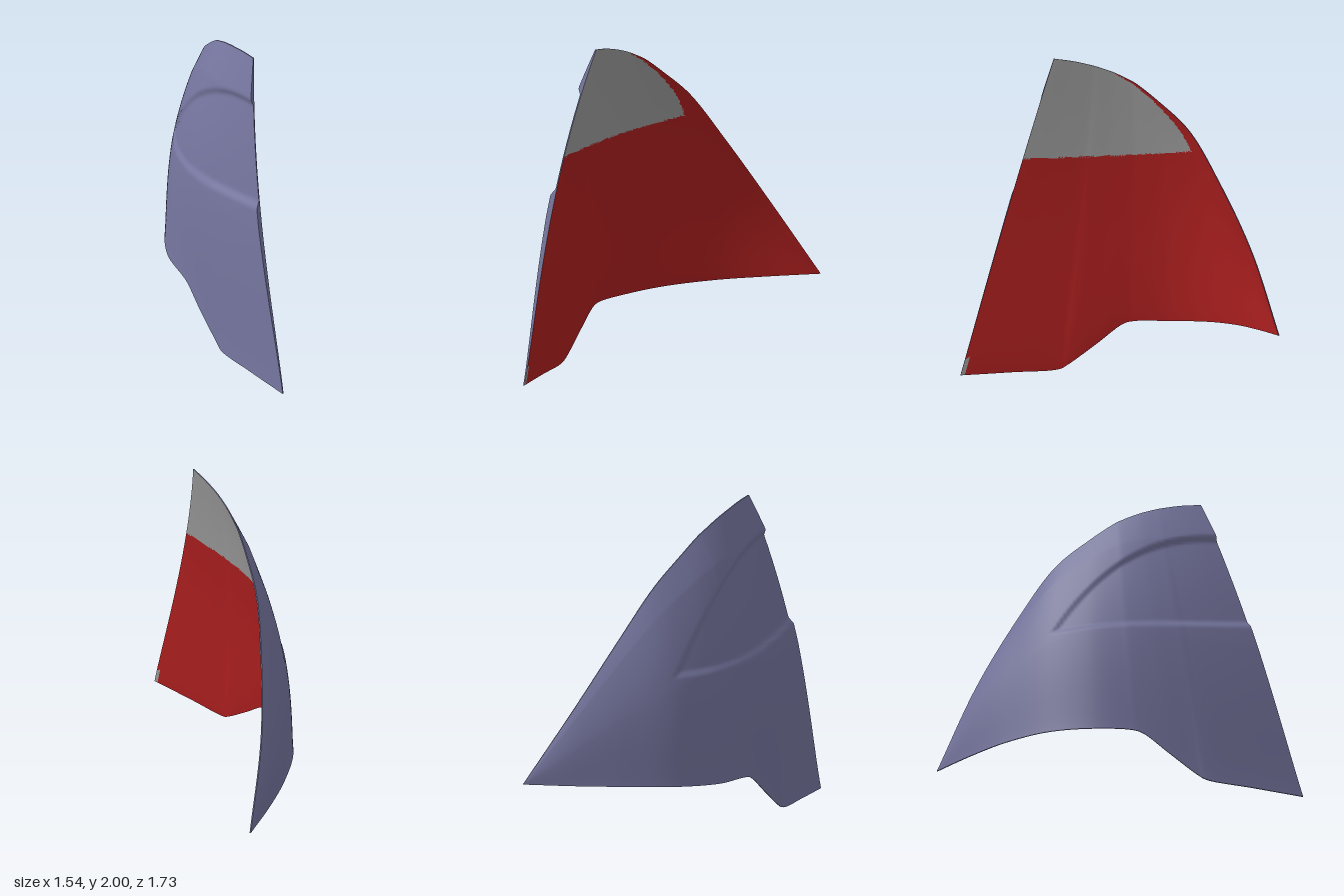
import * as THREE from 'three';

const NU = 132, NT = 120;
const V = (a) => a.map((p) => new THREE.Vector3(...p));

// Paired points along the lower and upper edges, front corner to rear tip
const lower = new THREE.CatmullRomCurve3(V([
  [-0.765, 0, 0.86], [-0.70, 0.022, 0.55], [-0.635, 0.045, 0.27], [-0.615, 0.075, 0.22],
  [-0.56, 0.21, 0.05], [-0.505, 0.335, -0.10], [-0.48, 0.355, -0.16], [-0.36, 0.37, -0.37],
  [-0.15, 0.395, -0.56], [0.15, 0.42, -0.70], [0.45, 0.435, -0.79], [0.77, 0.45, -0.86],
]));
const upper = new THREE.CatmullRomCurve3(V([
  [-0.41, 2, 0.34], [-0.365, 1.987, 0.22], [-0.32, 1.965, 0.11], [-0.307, 1.958, 0.083],
  [-0.263, 1.93, -0.005], [-0.208, 1.887, -0.10], [-0.187, 1.87, -0.13], [-0.10, 1.775, -0.25],
  [0.04, 1.61, -0.42], [0.23, 1.31, -0.58], [0.47, 0.92, -0.74], [0.77, 0.45, -0.86],
]));

// Horizontal direction pointing out of the shell
function outward(u) {
  const a = THREE.MathUtils.degToRad(3 + 62 * u);
  return new THREE.Vector3(-Math.cos(a), 0, -Math.sin(a));
}

// Concave face: lines between the two edges, bowed outward
function innerPoint(u, t) {
  const b = lower.getPoint(u), e = upper.getPoint(u);
  const bow = 0.145 * b.distanceTo(e) * Math.pow(t, 1.4) * (1 - t);
  return b.lerp(e, t).addScaledVector(outward(u), bow);
}

// 1 inside the pointed recess of the outer face, 0 elsewhere
function recess(p) {
  const q = p.z - p.x;
  const s = THREE.MathUtils.clamp((q + 0.43) / 1.37, 0, 1);
  const top = 1.07 + 0.705 * (1 - Math.pow(1 - s, 2.2));
  const bottom = 1.06 + 0.04 * (q + 0.1) ** 2;
  return THREE.MathUtils.smoothstep(Math.min(top - p.y, p.y - bottom), 0, 0.05);
}

// Convex face: shell thickness, fuller in the middle, with the recess sunk in
function outerPoint(u, t) {
  const p = innerPoint(u, t);
  const swell = 0.035 * Math.sin(Math.PI * u) * Math.sin(Math.PI * t);
  const taper = Math.min(1, 2 * t) * Math.min(1, 8 * (1 - t)) * (1 - u * u);
  const skin = 0.025 * taper * (1 - recess(p));
  return p.addScaledVector(outward(u), 0.007 + skin + swell);
}

// Grid surface; pick(centre) chooses the material index of each triangle
function surface(point, nu, nt, flip, pick) {
  const pos = [], sets = [[], []], P = [];
  for (let j = 0; j <= nt; j++) {
    for (let i = 0; i <= nu; i++) {
      const p = point(i / nu, j / nt);
      P.push(p);
      pos.push(p.x, p.y, p.z);
    }
  }
  for (let j = 0; j < nt; j++) {
    for (let i = 0; i < nu; i++) {
      const a = j * (nu + 1) + i, b = a + 1, c = a + nu + 1, d = c + 1;
      for (const [x, y, z] of [[a, b, d], [a, d, c]]) {
        const centre = P[x].clone().add(P[y]).add(P[z]).divideScalar(3);
        sets[pick ? pick(centre) : 0].push(x, ...(flip ? [z, y] : [y, z]));
      }
    }
  }
  const g = new THREE.BufferGeometry();
  g.setAttribute('position', new THREE.Float32BufferAttribute(pos, 3));
  g.setIndex(sets.flat());
  if (pick) {
    g.addGroup(0, sets[0].length, 0);
    g.addGroup(sets[0].length, sets[1].length, 1);
  }
  g.computeVertexNormals();
  return g;
}

// Bare grey areas of the lining: upper front patch and a sliver at the front foot
function isBare(p) {
  const d = p.y - 1.5;
  const patch = p.y > 1.36 + 0.2 * (p.x + 0.57) && p.x < -0.005 - 0.2 * d - 0.95 * d * d;
  const sliver = p.y < 0.11 && p.z > 0.84 - 0.26 * p.y;
  return patch || sliver ? 1 : 0;
}

export function createModel() {
  const mat = (name, color, side = THREE.FrontSide) => {
    const m = new THREE.MeshStandardMaterial({ color, side });
    m.name = name;
    return m;
  };
  const violet = mat('violet grey', 0x7676a0, THREE.DoubleSide);
  const red = mat('red', 0xae1f1f);
  const grey = mat('grey', 0x9c9c9c);

  const model = new THREE.Group();
  model.name = 'curvedShell';
  const add = (name, geometry, material) => {
    const m = new THREE.Mesh(geometry, material);
    m.name = name;
    model.add(m);
  };

  add('lining', surface(innerPoint, NU, NT, false, isBare), [red, grey]);
  add('outerShell', surface(outerPoint, NU, NT, true), violet);

  // Narrow rims closing the shell along its three edges
  const rims = {
    lowerRim: [(s) => [s, 0], NU, true],
    upperRim: [(s) => [s, 1], NU, false],
    frontRim: [(s) => [0, s], NT, false],
  };
  for (const [name, [at, n, flip]] of Object.entries(rims)) {
    const strip = (s, k) => innerPoint(...at(s)).lerp(outerPoint(...at(s)), k);
    add(name, surface(strip, n, 1, flip), violet);
  }

  // Centre on x and z, standing on y = 0
  const box = new THREE.Box3().setFromObject(model);
  const c = box.getCenter(new THREE.Vector3());
  for (const m of model.children) m.geometry.translate(-c.x, -box.min.y, -c.z);
  return model;
}
